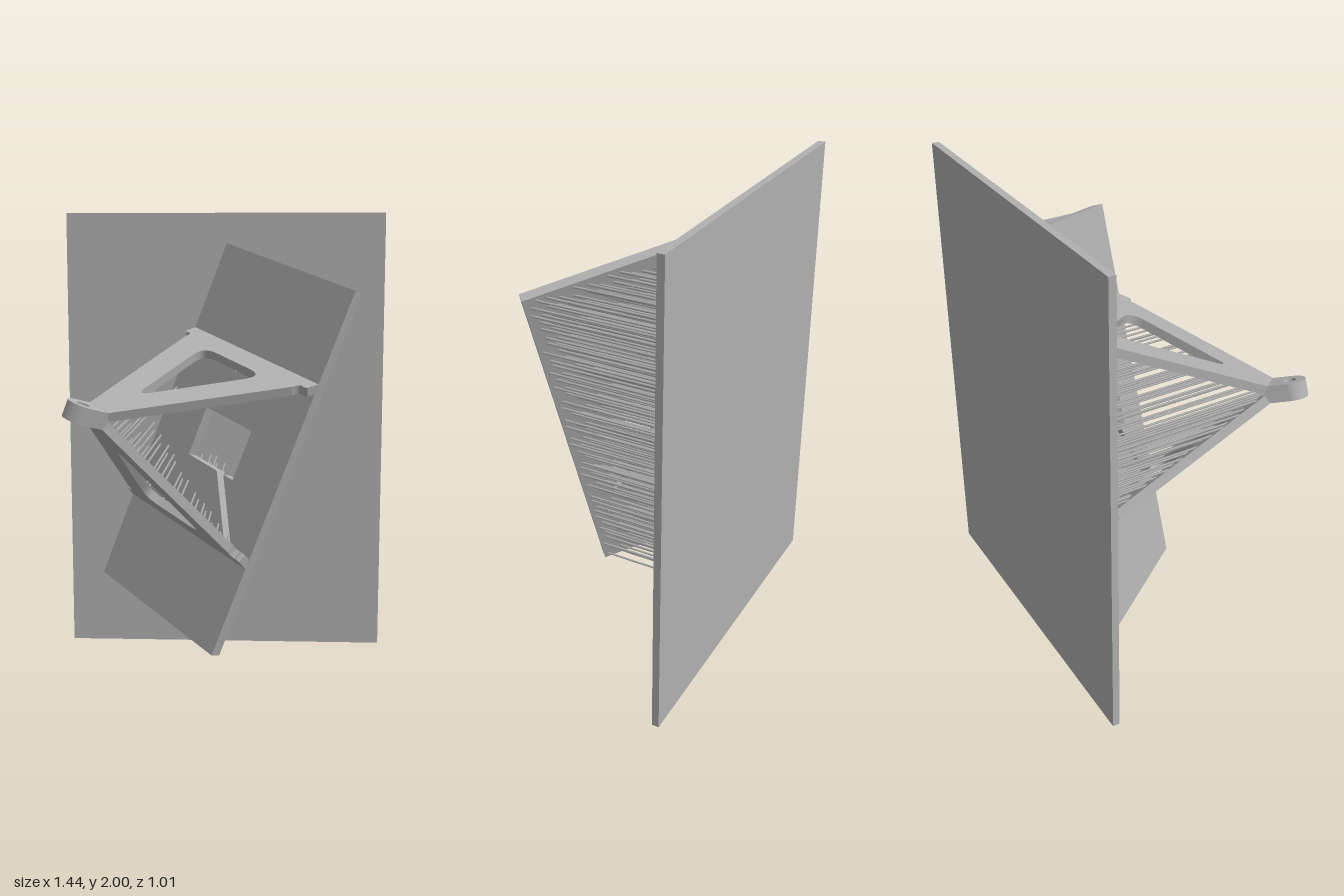
import * as THREE from 'three';
import { mergeGeometries } from 'three/addons/utils/BufferGeometryUtils.js';

// Bracket frame: X across the panel, Y along it, Z out of its face
const AX = new THREE.Vector3(0.661, -0.251, 0.707).normalize();
const AY = new THREE.Vector3(0.355, 0.935, 0).normalize();
const AZ = new THREE.Vector3().crossVectors(AX, AY).normalize();
const ORIGIN = new THREE.Vector3(-0.008, 1.005, -0.103);
const HALF_W = 0.405, HALF_L = 0.808, PANEL_T = 0.046;
const ARM_BASE = 0.41, ARM_SLOPE = 0.543, ARM_T = 0.038;
const BASE_Z = -0.472;

const polygon = (points, Type = THREE.Path) => {
  const path = new Type();
  points.forEach(([x, y], i) => (i ? path.lineTo(x, y) : path.moveTo(x, y)));
  path.closePath();
  return path;
};

// Closed path whose corners [x, y, cut] are rounded
function roundedPath(corners) {
  const path = new THREE.Path();
  const n = corners.length;
  corners.forEach(([x, y, cut], i) => {
    const toward = ([px, py]) => {
      const d = Math.hypot(px - x, py - y);
      return [x + ((px - x) * cut) / d, y + ((py - y) * cut) / d];
    };
    const a = toward(corners[(i + n - 1) % n]);
    const b = toward(corners[(i + 1) % n]);
    if (i) path.lineTo(...a); else path.moveTo(...a);
    path.quadraticCurveTo(x, y, ...b);
  });
  path.closePath();
  return path;
}

const extrude = (shape, depth) =>
  new THREE.ExtrudeGeometry(shape, { depth, bevelEnabled: false, curveSegments: 10 });

// Panel with a square opening and a slanted slot running from it
function panelGeometry() {
  const shape = polygon([[-HALF_W, -HALF_L], [HALF_W, -HALF_L], [HALF_W, HALF_L], [-HALF_W, HALF_L]], THREE.Shape);
  shape.holes.push(polygon([
    [-0.153, 0.112], [-0.153, -0.112], [0.045, -0.112], [0.235, -0.36],
    [0.28, -0.36], [0.09, -0.112], [0.153, -0.112], [0.153, 0.112],
  ]));
  return extrude(shape, PANEL_T).translate(0, 0, -PANEL_T);
}

// Triangular arm with flared feet and a rounded window
function armGeometry() {
  const s = new THREE.Shape();
  s.moveTo(-0.405, 0);
  s.lineTo(0.405, 0);
  s.lineTo(0.4, 0.055);
  s.quadraticCurveTo(0.385, 0.07, 0.372, 0.058);
  s.quadraticCurveTo(0.355, 0.06, 0.352, 0.095);
  s.lineTo(0.065, 0.785);
  s.lineTo(-0.065, 0.785);
  s.lineTo(-0.352, 0.095);
  s.quadraticCurveTo(-0.355, 0.06, -0.372, 0.058);
  s.quadraticCurveTo(-0.385, 0.07, -0.4, 0.055);
  s.closePath();
  s.holes.push(roundedPath([[-0.2, 0.112, 0.09], [0.2, 0.112, 0.09], [0, 0.615, 0.07]]));
  return extrude(s, ARM_T);
}

// Tip tab with a rounded end and a pin hole
function tabGeometry() {
  const r = 0.063, c = 0.768;
  const s = new THREE.Shape();
  s.moveTo(-r, 0.66);
  s.lineTo(r, 0.66);
  s.lineTo(r, c);
  s.absarc(0, c, r, 0, Math.PI, false);
  s.closePath();
  const hole = new THREE.Path();
  hole.absarc(0, c, 0.026, 0, Math.PI * 2, true);
  s.holes.push(hole);
  return extrude(s, 0.07).rotateX(Math.PI / 2).translate(0, 0.035, 0);
}

const rod = (x, y, z0, z1) =>
  new THREE.CylinderGeometry(0.005, 0.005, z1 - z0, 5, 1).rotateX(Math.PI / 2).translate(x, y, (z0 + z1) / 2);

// Thin rods running back from the panel and the arms
function supportGeometries() {
  let seed = 7;
  const rand = () => (seed = (seed * 16807) % 2147483647) / 2147483647;
  const panelRods = [], armRods = [];
  const step = 0.036;
  const inPanel = (x, y) => Math.abs(x) < HALF_W - 0.006 && Math.abs(y) < HALF_L - 0.006;
  const inOpening = (x, y) => Math.abs(x) < 0.16 && Math.abs(y) < 0.118;
  for (let gx = -0.72; gx < 0.72; gx += step) {
    for (let gy = 0.1; gy < 1.9; gy += step) {
      const x = gx + (rand() - 0.5) * 0.016, y = gy + (rand() - 0.5) * 0.016;
      const p = new THREE.Vector3(x, y, 0).sub(ORIGIN);
      const lx = p.dot(AX), ly = p.dot(AY), lz = p.dot(AZ);
      // Panel back
      const zb = (-PANEL_T - lz) / AZ.z;
      const bx = lx + zb * AX.z;
      const slot = ly < -0.1 && ly > -0.37 && Math.abs(bx - 0.065 + (ly + 0.112) * 0.766) < 0.035;
      if (inPanel(bx, ly) && !inOpening(bx, ly) && !slot && zb > BASE_Z) panelRods.push(rod(x, y, BASE_Z, zb + 0.003));
      // Inner faces of the two arms
      for (const side of [1, -1]) {
        const n = (ARM_BASE - 0.043 - side * ly) / ARM_SLOPE;
        const z = (n - lz) / AZ.z;
        const ax = Math.abs(lx + z * AX.z);
        const inArm = n > 0.05 && n < 0.7 && ax < 0.38 - 0.476 * n;
        const inWindow = n > 0.09 && n < 0.53 && ax < 0.1 + 0.46 * (0.31 - n);
        if (!inArm || inWindow) continue;
        const zf = -lz / AZ.z, fx = lx + zf * AX.z;
        const end = inPanel(fx, ly) && !inOpening(fx, ly) ? zf - 0.003 : BASE_Z;
        armRods.push(rod(x, y, end, z + 0.004));
      }
    }
  }
  return { panelRods: mergeGeometries(panelRods), armRods: mergeGeometries(armRods) };
}

export function createModel() {
  const model = new THREE.Group();
  model.name = 'supportedBracket';
  const grey = new THREE.MeshStandardMaterial({ color: 0xb0b0b0 });
  grey.name = 'grey';
  const add = (parent, name, geometry) => {
    const mesh = new THREE.Mesh(geometry, grey);
    mesh.name = name;
    parent.add(mesh);
    return mesh;
  };

  // Upright base plate
  add(model, 'basePlate', new THREE.BoxGeometry(1.444, 2, 0.03)).position.set(0, 1, -0.487);

  // Tilted bracket
  const bracket = new THREE.Group();
  bracket.name = 'bracket';
  bracket.quaternion.setFromRotationMatrix(new THREE.Matrix4().makeBasis(AX, AY, AZ));
  bracket.position.copy(ORIGIN);
  model.add(bracket);
  add(bracket, 'panel', panelGeometry());
  add(bracket, 'tipTab', tabGeometry());

  // Mirrored pair of arms
  const armShape = armGeometry();
  ['upperArm', 'lowerArm'].forEach((name, i) => {
    const pivot = new THREE.Group();
    pivot.name = name + 'Mount';
    pivot.rotation.z = i * Math.PI;
    const arm = add(pivot, name, armShape);
    arm.position.y = ARM_BASE;
    arm.rotation.x = Math.atan2(1, -ARM_SLOPE);
    bracket.add(pivot);
  });

  // Support rods
  const supports = supportGeometries();
  add(model, 'panelSupports', supports.panelRods);
  add(model, 'armSupports', supports.armRods);
  return model;
}
